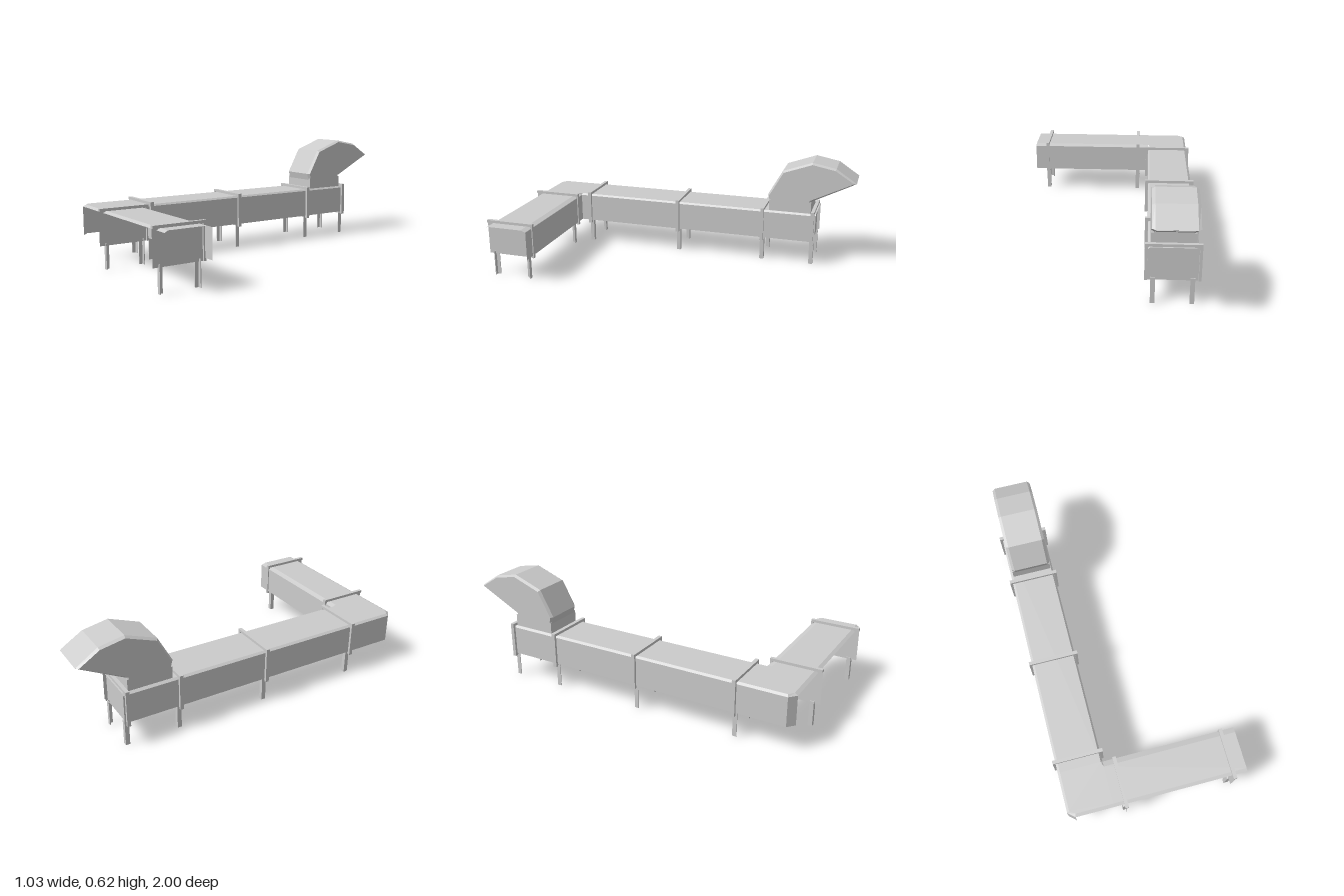
import * as THREE from 'three';

const mat = new THREE.MeshStandardMaterial({ color: 0xcccccc, flatShading: true, side: THREE.DoubleSide });

export function createModel() {
  const model = new THREE.Group();

  const add = (geo, name, parent = model) => {
    const m = new THREE.Mesh(geo, mat);
    m.name = name;
    parent.add(m);
    return m;
  };
  const box = (x0, x1, y0, y1, z0, z1, name, parent) => {
    const g = new THREE.BoxGeometry(x1 - x0, y1 - y0, z1 - z0);
    g.translate((x0 + x1) / 2, (y0 + y1) / 2, (z0 + z1) / 2);
    return add(g, name, parent);
  };
  // Sheet of quads between two matching paths of [x, y, z] points
  const sheet = (a, b, name) => {
    const pos = [];
    for (let i = 0; i < a.length - 1; i++) {
      pos.push(...a[i], ...a[i + 1], ...b[i + 1], ...a[i], ...b[i + 1], ...b[i]);
    }
    const g = new THREE.BufferGeometry();
    g.setAttribute('position', new THREE.Float32BufferAttribute(pos, 3));
    g.computeVertexNormals();
    return add(g, name);
  };

  const LOW = 0.145, RIM = 0.308, TOP = 0.318;

  // Long duct along z, open underneath
  const longProfile = [[-0.245, LOW], [-0.245, RIM], [-0.255, TOP], [-0.487, TOP], [-0.5, RIM], [-0.5, LOW]];
  sheet(longProfile.map(([x, y]) => [x, y, 0.72]), longProfile.map(([x, y]) => [x, y, -0.78]), 'longDuct');

  // Short duct along x, open underneath and on its front side
  const shortProfile = [[0.975, RIM], [0.957, TOP], [0.75, TOP], [0.72, RIM], [0.72, LOW]];
  sheet(shortProfile.map(([z, y]) => [0.515, y, z]), shortProfile.map(([z, y]) => [-0.245, y, z]), 'shortDuct');

  // Corner joining both ducts, with its outer corner cut off
  const outer = [[-0.5, 0.72], [-0.5, 0.94], [-0.46, 0.975], [-0.245, 0.975]];
  const inner = [[-0.487, 0.72], [-0.487, 0.935], [-0.457, 0.957], [-0.245, 0.957]];
  const at = (path, y) => path.map(([x, z]) => [x, y, z]);
  sheet(at(outer.slice(0, 3), LOW), at(outer.slice(0, 3), RIM), 'cornerWall');
  sheet(at(outer, RIM), at(inner, TOP), 'cornerRim');
  const roof = new THREE.ShapeGeometry(new THREE.Shape(
    [...inner, [-0.245, 0.75], [-0.255, 0.72]].map(([x, z]) => new THREE.Vector2(x, z))));
  roof.rotateX(Math.PI / 2).translate(0, TOP, 0);
  add(roof, 'cornerRoof');

  // Support frame in its own x-y plane: panel, top bar, side flanges, two angle legs
  const frame = (flanges) => {
    const g = new THREE.Group();
    g.name = 'supportFrame';
    const W = 0.143, T = 0.01;
    const panel = new THREE.PlaneGeometry(2 * W, 0.203);
    panel.translate(0, 0.2315, 0);
    add(panel, 'framePanel', g);
    box(-W, W, TOP, 0.333, -T, T, 'topBar', g);
    for (const s of flanges) {
      const f = box(-0.007, 0.007, 0.13, 0.333, -T, T, 'sideFlange', g);
      f.position.x = s * (W - 0.007);
    }
    for (const s of [-1, 1]) {
      const leg = new THREE.Group();
      leg.name = 'angleLeg';
      box(0.108, 0.112, 0, 0.145, -0.012, 0.012, 'legSide', leg);
      box(0.088, 0.11, 0, 0.145, -0.012, -0.008, 'legFace', leg);
      leg.scale.x = s;
      g.add(leg);
    }
    model.add(g);
    return g;
  };
  for (const z of [0.66, 0.07, -0.462, -0.762]) frame([-1, 1]).position.set(-0.372, 0, z);
  for (const x of [-0.178, 0.436]) {
    const f = frame([1]);
    f.rotation.y = Math.PI / 2;
    f.position.set(x, 0, 0.857);
  }

  // Hood: curved body with bevelled edges on a straight neck, mouth facing back and down
  const X0 = -0.485, X1 = -0.258, B = 0.015;
  box(X0, X1, 0.31, 0.385, -0.748, -0.498, 'hoodNeck');
  const profile = [[-0.498, 0.375], [-0.488, 0.415], [-0.57, 0.563], [-0.742, 0.625],
    [-0.88, 0.598], [-1, 0.518], [-0.748, 0.39], [-0.748, 0.375]];
  const hood = new THREE.ExtrudeGeometry(
    new THREE.Shape(profile.map(([z, y]) => new THREE.Vector2(-z, y))),
    { depth: X1 - X0 - 2 * B, bevelThickness: B, bevelSize: 0.01, bevelOffset: -0.01, bevelSegments: 1 });
  hood.rotateY(Math.PI / 2).translate(X0 + B, 0, 0);
  add(hood, 'hood');

  // Panel set on the hood mouth
  const mouth = box(-0.095, 0.095, -0.002, 0.002, -0.115, 0.115, 'mouthPanel');
  mouth.position.set((X0 + X1) / 2, 0.454, -0.874);
  mouth.rotation.x = Math.atan2(0.128, 0.252);

  return model;
}
